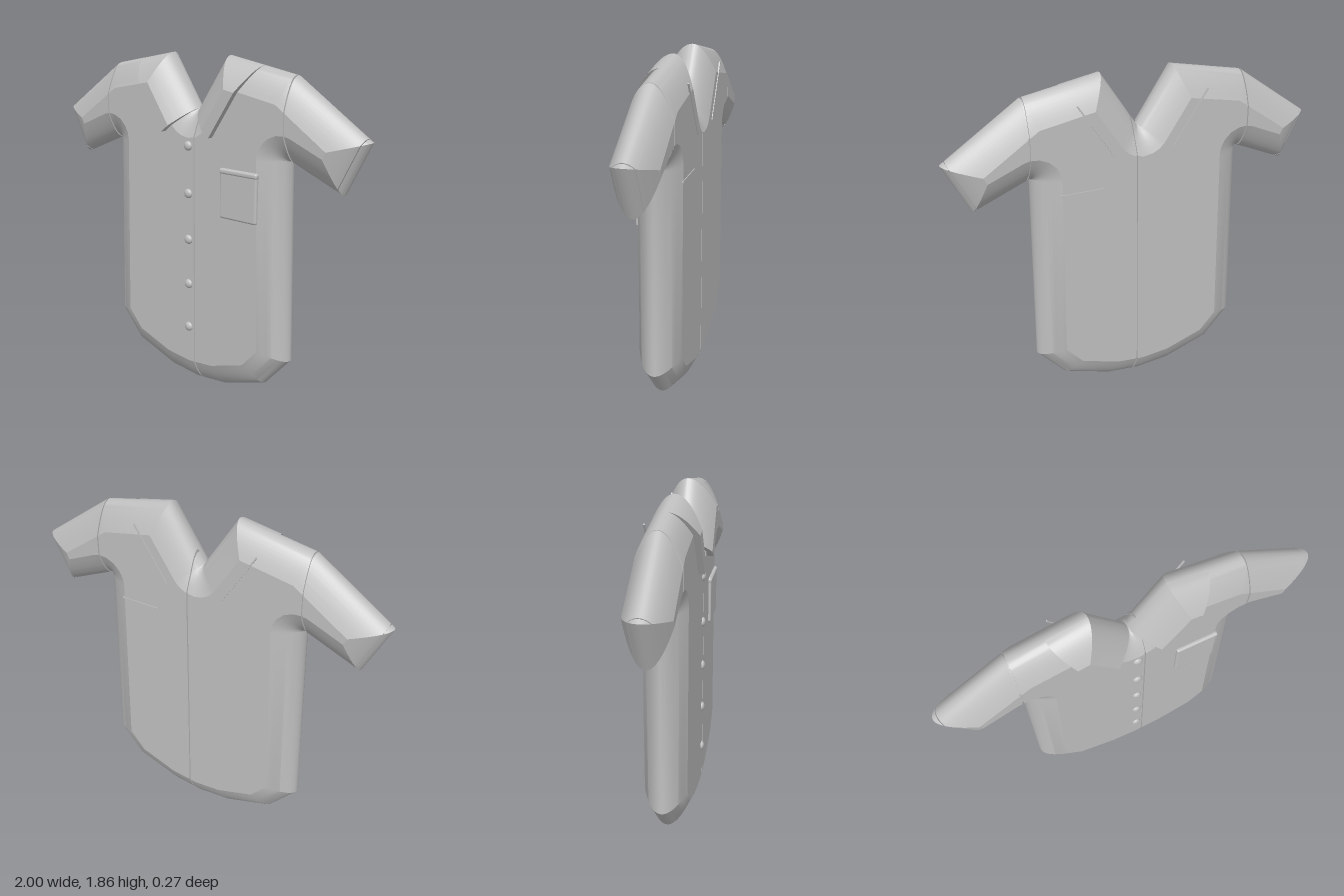
import * as THREE from 'three';
import { toCreasedNormals } from 'three/addons/utils/BufferGeometryUtils.js';
import { RoundedBoxGeometry } from 'three/addons/geometries/RoundedBoxGeometry.js';

const MID = -0.015;   // z of the middle of the padded cloth
const HALF = 0.115;   // half thickness
const BEVEL = 0.14;   // width of the rounded border
const STEPS = 10;

// Half outline on +x, from hem centre up to the neck, then mirrored (counter-clockwise)
const half = [[0.19, 0.022], [0.455, 0.115], [0.605, 0.29], [0.578, 1.365], [0.875, 1.24],
  [1, 1.505], [0.592, 1.782], [0.19, 1.857]];
const outline = [[0, 0.002], ...half, [0, 1.57], ...half.map(([x, y]) => [-x, y]).reverse()];

// Outline points with their inward directions; inner corners get a rounded fan
function insetRays() {
  const rays = [];
  const n = outline.length;
  const normal = (a, b) => new THREE.Vector2(a[1] - b[1], b[0] - a[0]).normalize();
  outline.forEach((p, i) => {
    const n1 = normal(outline[(i + n - 1) % n], p);
    const n2 = normal(p, outline[(i + 1) % n]);
    if (n1.cross(n2) >= 0) {
      rays.push([p, n1.clone().add(n2).divideScalar(1 + n1.dot(n2))]);
    } else {
      for (let k = 0; k <= 8; k++) rays.push([p, n1.clone().lerp(n2, k / 8).normalize()]);
    }
  });
  return rays;
}

// Padded shirt shape as a list of triangles; sides: 1 front, -1 back
function padded(halfThickness, inset, sides) {
  const rays = insetRays();
  const n = rays.length;
  const tris = [];
  for (const side of sides) {
    const add = (a, b, c) => tris.push(side > 0 ? [a, b, c] : [a, c, b]);
    const rings = [];
    for (let i = 0; i <= STEPS; i++) {
      const t = i / STEPS;
      const d = inset + (BEVEL - inset) * t * t;
      rings.push(rays.map(([p, dir]) => [p[0] + dir.x * d, p[1] + dir.y * d, MID + side * halfThickness * t]));
    }
    for (let i = 0; i < STEPS; i++) {
      for (let j = 0; j < n; j++) {
        const k = (j + 1) % n;
        add(rings[i][j], rings[i][k], rings[i + 1][k]);
        add(rings[i][j], rings[i + 1][k], rings[i + 1][j]);
      }
    }
    const top = rings[STEPS];
    const flat = top.map(p => new THREE.Vector2(p[0], p[1]));
    for (const [a, b, c] of THREE.ShapeUtils.triangulateShape(flat, [])) add(top[a], top[b], top[c]);
  }
  return tris;
}

// Keep what lies left of line a-b by at least gap, and wall up the cut
function cut(tris, [a, b], gap = 0) {
  const len = Math.hypot(b[0] - a[0], b[1] - a[1]);
  const dist = p => ((b[0] - a[0]) * (p[1] - a[1]) - (b[1] - a[1]) * (p[0] - a[0])) / len - gap;
  const out = [];
  for (const tri of tris) {
    const poly = [];
    let exit = null, entry = null;
    tri.forEach((p, i) => {
      const q = tri[(i + 1) % 3];
      const dp = dist(p), dq = dist(q);
      if (dp >= 0) poly.push(p);
      if ((dp >= 0) !== (dq >= 0)) {
        const t = dp / (dp - dq);
        const m = p.map((v, k) => v + (q[k] - v) * t);
        poly.push(m);
        if (dp >= 0) exit = m; else entry = m;
      }
    });
    for (let i = 2; i < poly.length; i++) out.push([poly[0], poly[i - 1], poly[i]]);
    if (exit && entry) {
      const e0 = [exit[0], exit[1], MID], n0 = [entry[0], entry[1], MID];
      out.push([entry, exit, e0], [entry, e0, n0]);
    }
  }
  return out;
}

const reverse = ([a, b]) => [b, a];
const mirror = ([a, b]) => [[-b[0], b[1]], [-a[0], a[1]]];

export function createModel() {
  const group = new THREE.Group();
  const cloth = new THREE.MeshStandardMaterial({ color: 0xbfbfbf, side: THREE.DoubleSide });
  cloth.name = 'grey cloth';

  const addMesh = (name, geometry, x = 0, y = 0, z = 0) => {
    const mesh = new THREE.Mesh(geometry, cloth);
    mesh.name = name;
    mesh.position.set(x, y, z);
    group.add(mesh);
    return mesh;
  };
  const addPanel = (name, tris) => {
    const g = new THREE.BufferGeometry();
    g.setAttribute('position', new THREE.Float32BufferAttribute(tris.flat(2), 3));
    addMesh(name, toCreasedNormals(g, 0.35));
  };

  // Seam lines
  const GAP = 0.004;
  const armSeam = [[0.588, 1.78], [0.61, 0.25]];
  const cuffSeam = [[0.875, 1.24], [1, 1.505]];
  const frontSeam = [[0.04, 2], [0.04, 0]];
  const collarEdge = [[0.16, 1.45], [0.385, 1.797]];
  const collarEnd = [[0, 1.58], [0.16, 1.45]];
  const centre = [[0.004, 2], [0.004, 0]];

  // Body panels and the lining seen inside the seams
  const shell = padded(HALF, 0, [1, -1]);
  const torso = cut(cut(shell, reverse(armSeam), GAP), mirror(reverse(armSeam)), GAP);
  addPanel('leftPanel', cut(torso, frontSeam, GAP));
  addPanel('rightPanel', cut(torso, reverse(frontSeam), GAP));
  addPanel('lining', padded(HALF - 0.01, 0.01, [1, -1]));

  // Sleeves, cuffs and collar wings
  const collarShell = padded(HALF + 0.033, 0, [1]);
  for (const [side, m] of [['left', l => l], ['right', mirror]]) {
    const arm = cut(shell, m(armSeam), GAP);
    addPanel(side + 'Sleeve', cut(arm, m(cuffSeam), 0.028 + GAP / 2));
    addPanel(side + 'Cuff', cut(arm, m(reverse(cuffSeam)), -0.028 + GAP / 2));
    const wing = [collarEdge, collarEnd, centre].reduce((t, l) => cut(t, m(l)), collarShell);
    addPanel(side + 'Collar', wing);

    // Collar stitch on the back
    const s = side === 'left' ? 1 : -1;
    const stitch = addMesh(side + 'BackStitch', new THREE.BoxGeometry(0.007, 0.34, 0.008), s * 0.255, 1.6, -0.13);
    stitch.rotation.z = -s * 0.575;
  }

  // Buttons
  for (let i = 0; i < 5; i++) {
    const button = addMesh('button', new THREE.SphereGeometry(0.026, 20, 12), 0, 1.388 - i * 0.258, 0.1);
    button.scale.z = 0.65;
  }

  // Chest pocket with its hem, and the stitch behind it
  addMesh('pocket', new RoundedBoxGeometry(0.232, 0.25, 0.03, 3, 0.012), 0.335, 1.163, 0.099);
  addMesh('pocketHem', new RoundedBoxGeometry(0.236, 0.03, 0.036, 3, 0.012), 0.335, 1.288, 0.1);
  addMesh('pocketStitch', new THREE.BoxGeometry(0.23, 0.007, 0.008), 0.335, 1.29, -0.13);

  return group;
}
